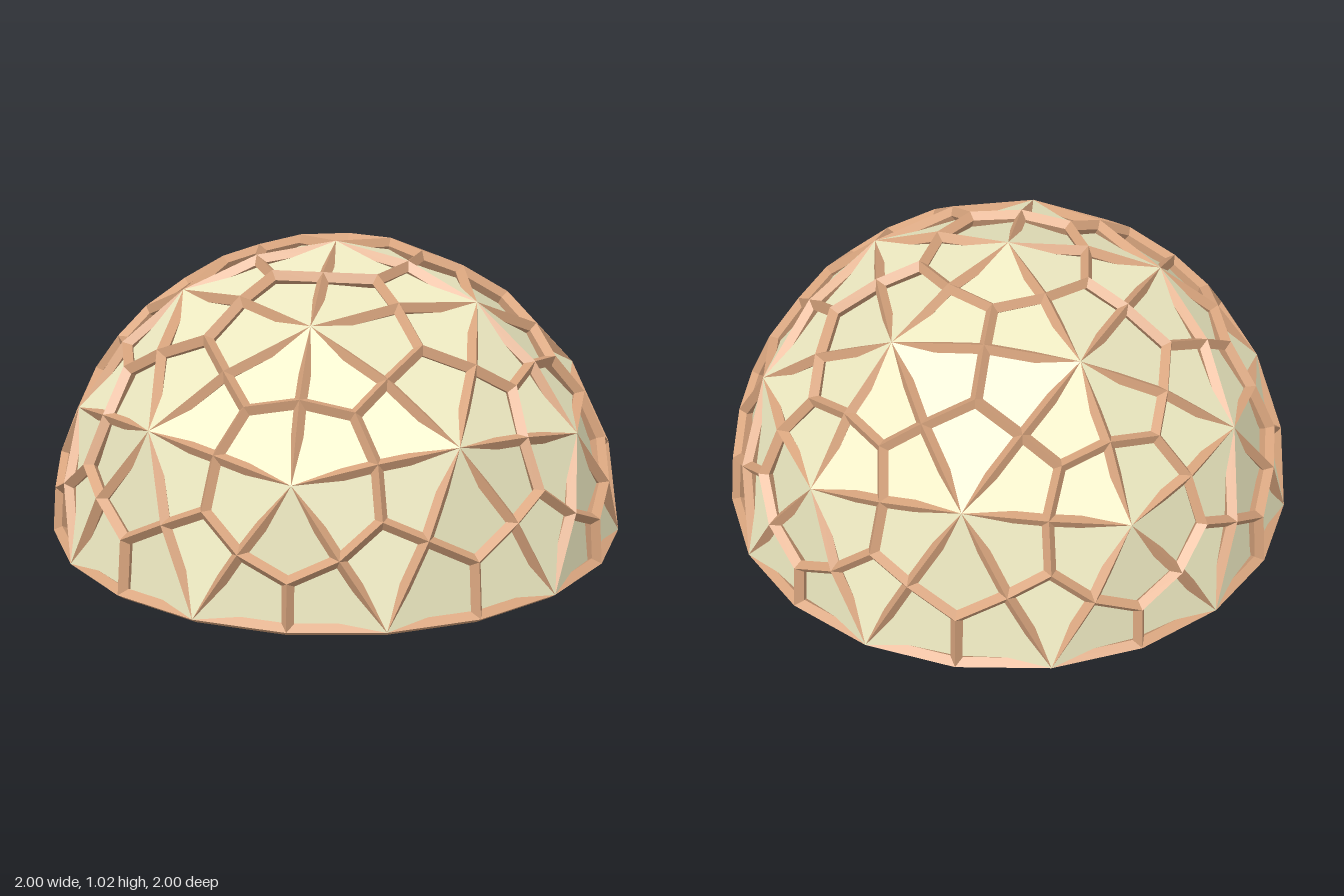
import * as THREE from 'three';
import { mergeGeometries } from 'three/addons/utils/BufferGeometryUtils.js';

const LIFT = 0.019;           // raises the sphere centre so the base struts rest on y = 0
const HALF_WIDTH = 0.02;      // strut section: a tall diamond with its ridge on the sphere
const DEPTH = 0.054;

const polar = (deg, y) => {
  const a = THREE.MathUtils.degToRad(deg), r = Math.sqrt(Math.max(0, 1 - y * y));
  return new THREE.Vector3(r * Math.cos(a), y, r * Math.sin(a));
};
const onSphere = (...pts) => pts.reduce((s, p) => s.add(p), new THREE.Vector3()).normalize();

function fromTriangles(points) {
  const geo = new THREE.BufferGeometry().setFromPoints(points);
  geo.computeVertexNormals();
  return geo;
}

// Triangles of the upper half of an icosahedron split once on the sphere
function domeTriangles() {
  const h = 1 / Math.sqrt(5), top = new THREE.Vector3(0, 1, 0);
  const up = (k) => polar(72 * k, h), low = (k) => polar(36 + 72 * k, -h);
  const out = [];
  const split = (a, b, c) => {
    const ab = onSphere(a, b), bc = onSphere(b, c), ca = onSphere(c, a);
    for (const t of [[a, ab, ca], [ab, b, bc], [ca, bc, c], [ab, bc, ca]]) {
      if (t.some((p) => p.y < -0.01)) continue;
      const n = t[1].clone().sub(t[0]).cross(t[2].clone().sub(t[0]));
      out.push(n.dot(t[0]) > 0 ? t : [t[0], t[2], t[1]]);
    }
  };
  for (let k = 0; k < 5; k++) {
    split(top, up(k), up(k + 1));
    split(up(k), up(k + 1), low(k));
    split(low(k), low(k + 1), up(k + 1));
  }
  return out;
}

// Diamond prism between two points of the sphere, ridge facing outward
function strut(a, b) {
  const side = b.clone().sub(a).cross(onSphere(a, b)).normalize();
  const section = (p) => [[0, 0], [1, 0.5], [0, 1], [-1, 0.5]].map(([w, d]) =>
    p.clone().multiplyScalar(1 - d * DEPTH).addScaledVector(side, w * HALF_WIDTH));
  const A = section(a), B = section(b), pts = [];
  for (let i = 0; i < 4; i++) {
    const j = (i + 1) % 4;
    pts.push(A[i], A[j], B[j], A[i], B[j], B[i]);
  }
  pts.push(A[0], A[2], A[1], A[0], A[3], A[2], B[0], B[1], B[2], B[0], B[2], B[3]);
  return fromTriangles(pts);
}

export function createModel() {
  const model = new THREE.Group();
  model.name = 'geodesicDome';
  const wood = new THREE.MeshStandardMaterial({ color: 0xd9a57e, flatShading: true });
  const cover = new THREE.MeshStandardMaterial({ color: 0xece8c0, flatShading: true, side: THREE.DoubleSide });

  const triangles = domeTriangles();
  const edgeStruts = [], innerStruts = [], seen = new Set();
  const key = (p) => p.toArray().map((v) => Math.round(v * 1000)).join();

  for (const t of triangles) {
    const centre = onSphere(...t);
    t.forEach((a, i) => {
      const b = t[(i + 1) % 3], mid = onSphere(a, b);
      // Three spokes from the triangle's centre to its edge middles
      innerStruts.push(strut(centre, mid));
      // Each shared edge is built once, as two straight halves
      if (seen.has(key(mid))) return;
      seen.add(key(mid));
      edgeStruts.push(strut(a, mid), strut(mid, b));
    });
  }

  const add = (name, geometry, material) => {
    const mesh = new THREE.Mesh(geometry, material);
    mesh.name = name;
    mesh.position.y = LIFT;
    model.add(mesh);
  };
  add('panels', fromTriangles(triangles.flat()), cover);
  add('triangleStruts', mergeGeometries(edgeStruts), wood);
  add('hexagonStruts', mergeGeometries(innerStruts), wood);
  return model;
}
